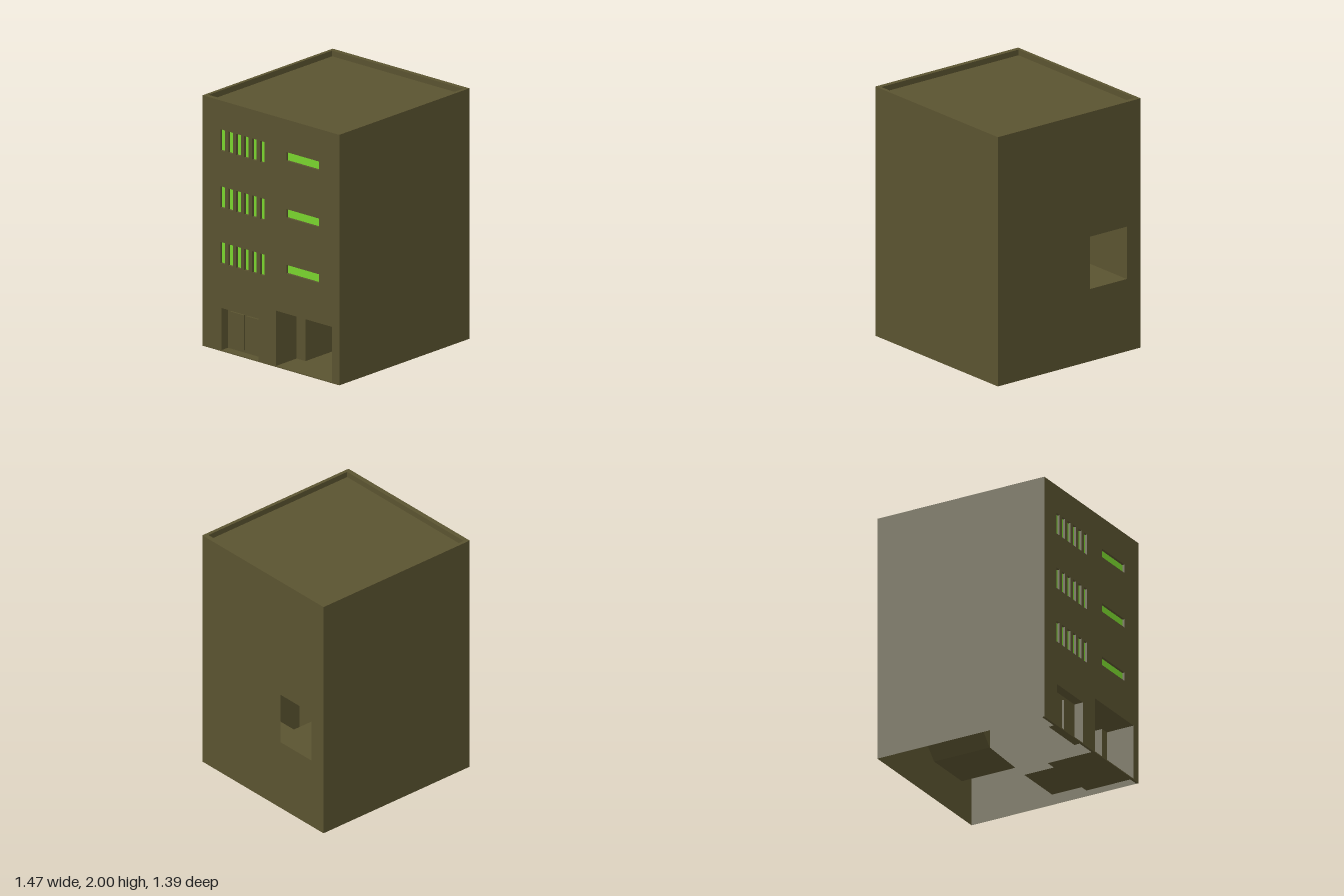
import * as THREE from 'three';

const X = 0.735, Z = 0.695, H = 2, T = 0.02;

export function createModel() {
  const model = new THREE.Group();
  const brown = new THREE.MeshStandardMaterial({ color: 0x5a5330, flatShading: true, side: THREE.DoubleSide });
  const green = new THREE.MeshStandardMaterial({ color: 0x7ad62e });

  const add = (name, geo, mat = brown, parent = model) => {
    const m = new THREE.Mesh(geo, mat);
    m.name = name;
    parent.add(m);
    return m;
  };
  const box = (name, x0, x1, y0, y1, z0, z1, mat, parent) => {
    const m = add(name, new THREE.BoxGeometry(x1 - x0, y1 - y0, z1 - z0), mat, parent);
    m.position.set((x0 + x1) / 2, (y0 + y1) / 2, (z0 + z1) / 2);
  };
  // outline of a rectangle as points
  const rect = (a0, a1, b0, b1) => [[a0, b0], [a1, b0], [a1, b1], [a0, b1]];
  const shape = (pts, holes = []) => {
    const s = new THREE.Shape(pts.map(p => new THREE.Vector2(...p)));
    s.holes = holes.map(h => new THREE.Path(h.map(p => new THREE.Vector2(...p))));
    return s;
  };
  // flat sheet facing along x (points z, y), along y (points x, z) or along z (points x, y)
  const sheet = (name, axis, at, pts, holes, parent) => {
    const g = new THREE.ShapeGeometry(shape(pts, holes));
    const p = g.attributes.position;
    for (let i = 0; i < p.count; i++) {
      const a = p.getX(i), b = p.getY(i);
      if (axis === 'x') p.setXYZ(i, at, b, a);
      else if (axis === 'y') p.setXYZ(i, a, at, b);
      else p.setXYZ(i, a, b, at);
    }
    g.computeVertexNormals();
    add(name, g, brown, parent);
  };
  // strip swept between two sides of a path; map(u, v, side) gives a point
  const strip = (name, path, a, b, map, parent) => {
    const pos = [], idx = [];
    path.forEach(([u, v], i) => {
      pos.push(...map(u, v, a), ...map(u, v, b));
      if (i) idx.push(2 * i - 2, 2 * i - 1, 2 * i, 2 * i, 2 * i - 1, 2 * i + 1);
    });
    const g = new THREE.BufferGeometry();
    g.setAttribute('position', new THREE.Float32BufferAttribute(pos, 3));
    g.setIndex(idx);
    const flat = g.toNonIndexed();
    flat.computeVertexNormals();
    add(name, flat, brown, parent);
  };

  // plain outer walls and the side wall with its exit
  sheet('frontWall', 'z', Z, rect(-X, X, 0, H));
  sheet('backWall', 'z', -Z, rect(-X, X, 0, H));
  sheet('exitWall', 'x', X, rect(-Z, Z, 0, H), [rect(-0.56, -0.2, 0.58, 1)]);

  // street wall: two entrances, three storeys of slots and wide windows
  const entrance = rect(0.05, 0.62, 0.008, 0.45);
  const doorway = rect(-0.505, -0.126, 0.008, 0.345);
  const holes = [entrance, doorway];
  for (const y of [0.7, 1.145, 1.6]) {
    for (let i = 0; i < 6; i++) {
      const z = -0.515 + i * 0.081;
      holes.push(rect(z, z + 0.046, y, y + 0.17));
    }
    holes.push(rect(0.156, 0.487, y + 0.07, y + 0.14));
    box('slotGlass', -X + T, -X + T + 0.01, y - 0.02, y + 0.19, -0.54, -0.04, green);
    box('wideGlass', -X + T, -X + T + 0.01, y - 0.02, y + 0.16, 0.13, 0.5, green);
  }
  const wall = add('streetWall', new THREE.ExtrudeGeometry(shape(rect(-Z, Z, 0, H), holes), { depth: T, bevelEnabled: false }));
  wall.rotation.y = -Math.PI / 2;
  wall.position.x = -X + T;

  // roof sunk behind a low parapet
  const inner = rect(-X + 0.038, X - 0.038, -Z + 0.028, Z - 0.028);
  sheet('parapetTop', 'y', H, rect(-X, X, -Z, Z), [inner]);
  strip('parapetInside', [...inner, inner[0]], 1.955, H, (x, z, y) => [x, y, z]);
  sheet('roof', 'y', 1.955, inner);

  // small doorway recess with two door leaves
  const door = new THREE.Group();
  door.name = 'doorway';
  model.add(door);
  const back = -X + 0.075;
  strip('doorReveal', [...doorway, doorway[0]], -X + T, back, (z, y, x) => [x, y, z], door);
  sheet('doorBack', 'x', back, doorway, [], door);
  for (const z of [-0.47, -0.305]) box('doorLeaf', back - 0.015, back + 0.015, 0.03, 0.31, z, z + 0.14, brown, door);

  // entrance hall
  const passage = new THREE.Group();
  passage.name = 'stairPassage';
  model.add(passage);
  const xh = -0.5, z0 = 0.14, z1 = 0.55, xl = 0.244;
  for (const z of [0.05, 0.62]) sheet('hallSide', 'z', z, rect(-X + T, xh, 0.008, 0.45), [], passage);
  sheet('hallFloor', 'y', 0.008, rect(-X + T, -0.32, 0.05, 0.62), [], passage);
  sheet('hallCeiling', 'y', 0.45, rect(-X + T, xh, 0.05, 0.62), [], passage);
  sheet('hallEnd', 'x', xh, rect(0.05, z0, 0.008, 0.45), [], passage);
  sheet('hallEnd', 'x', xh, rect(z1, 0.62, 0.008, 0.45), [], passage);

  // first ramp, rising along x to a landing
  const alongX = (x, y, z) => [x, y, z];
  const low = [[xh, 0.008], [-0.06, 0.008], [xl, 0.31]];
  const high = [[xh, 0.45], [-0.39, 0.45], [-0.1, 0.74], [xl, 0.74]];
  strip('lowerRamp', low, z0, z1, alongX, passage);
  strip('lowerCeiling', high, z0, z1, alongX, passage);
  const profile = [...low, ...[...high].reverse()];
  sheet('lowerSide', 'z', z0, profile, [], passage);
  sheet('lowerSide', 'z', z1, profile, [], passage);
  sheet('landingSide', 'z', z1, rect(xl, X, 0.31, 0.74), [], passage);

  // second ramp, turning to the back and up to the exit
  const alongZ = (z, y, x) => [x, y, z];
  const floor2 = [[z1, 0.31], [z0, 0.31], [-0.13, 0.58], [-0.56, 0.58]];
  const top2 = [[z1, 0.74], [z0, 0.74], [-0.12, 1], [-0.56, 1]];
  strip('upperRamp', floor2, xl, X, alongZ, passage);
  strip('upperCeiling', top2, xl, X, alongZ, passage);
  sheet('upperSide', 'x', xl, [...floor2.slice(1), ...top2.slice(1).reverse()], [], passage);
  sheet('upperEnd', 'z', -0.56, rect(xl, X, 0.58, 1), [], passage);

  return model;
}
